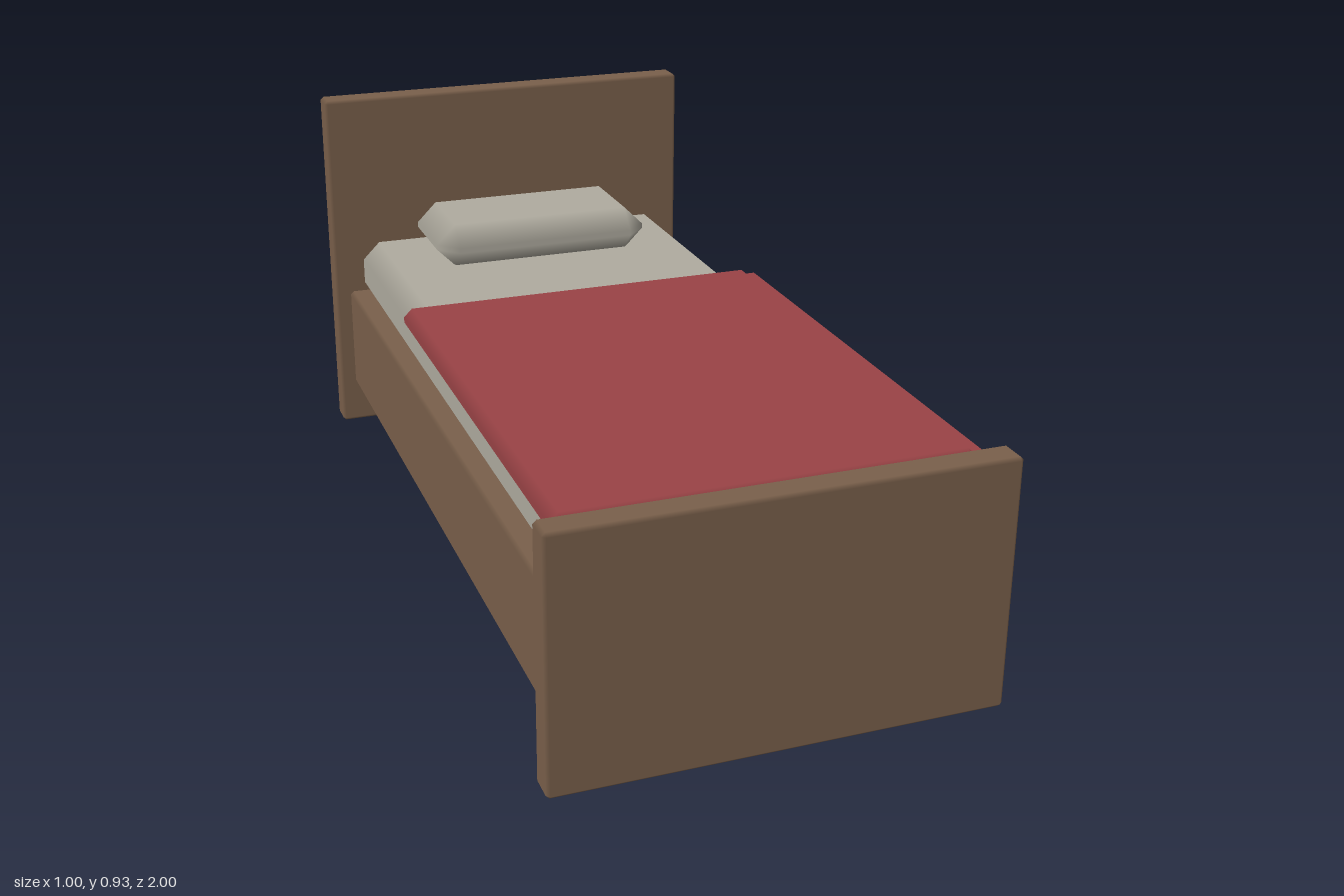
import * as THREE from 'three';
import { ConvexGeometry } from 'three/addons/geometries/ConvexGeometry.js';

const material = (name, color) => {
  const m = new THREE.MeshStandardMaterial({ color });
  m.name = name;
  return m;
};

// Box with cut edges; normals blend softly across the cuts and stay flat on the six sides
function bevelledBox(w, h, d, bevel) {
  const half = [w / 2, h / 2, d / 2];
  const points = [];
  for (let axis = 0; axis < 3; axis++)
    for (const sx of [-1, 1]) for (const sy of [-1, 1]) for (const sz of [-1, 1]) {
      const p = [sx, sy, sz].map((s, i) => s * (half[i] - (i === axis ? 0 : bevel)));
      points.push(new THREE.Vector3(...p));
    }
  const geometry = new ConvexGeometry(points);
  const { position, normal } = geometry.attributes;
  for (let i = 0; i < position.count; i++) {
    const p = [position.getX(i), position.getY(i), position.getZ(i)];
    normal.setXYZ(i, ...p.map((v, k) => (Math.abs(Math.abs(v) - half[k]) < 1e-4 ? Math.sign(v) : 0)));
  }
  return geometry;
}

export function createModel() {
  const bed = new THREE.Group();
  bed.name = 'bed';
  const wood = material('brown wood', 0x7a604b);
  const linen = material('pale linen', 0xb0aca0);
  const red = material('red cloth', 0x9a4346);

  // Each part is given by its limits on x, y and z
  function part(name, mat, [x0, x1], [y0, y1], [z0, z1], bevel = 0) {
    const size = [x1 - x0, y1 - y0, z1 - z0];
    const geometry = bevel ? bevelledBox(...size, bevel) : new THREE.BoxGeometry(...size);
    const mesh = new THREE.Mesh(geometry, mat);
    mesh.name = name;
    mesh.position.set((x0 + x1) / 2, (y0 + y1) / 2, (z0 + z1) / 2);
    bed.add(mesh);
  }

  // Wooden frame
  part('headboard', wood, [-0.5, 0.5], [0, 0.925], [-1, -0.93], 0.008);
  part('footboard', wood, [-0.5, 0.5], [0, 0.575], [0.93, 1], 0.008);
  part('bedBase', wood, [-0.46, 0.46], [0.115, 0.387], [-0.935, 0.935], 0.008);

  // Bedding
  part('mattress', linen, [-0.43, 0.43], [0.385, 0.54], [-0.917, 0.917], 0.045);
  part('pillow', linen, [-0.285, 0.285], [0.535, 0.65], [-0.88, -0.567], 0.051);
  part('blanket', red, [-0.455, 0.455], [0.505, 0.558], [-0.3, 0.91], 0.02);

  // Blanket hanging over one side
  part('blanketDrape', red, [0.44, 0.478], [0.265, 0.54], [-0.297, 0.907]);

  return bed;
}
